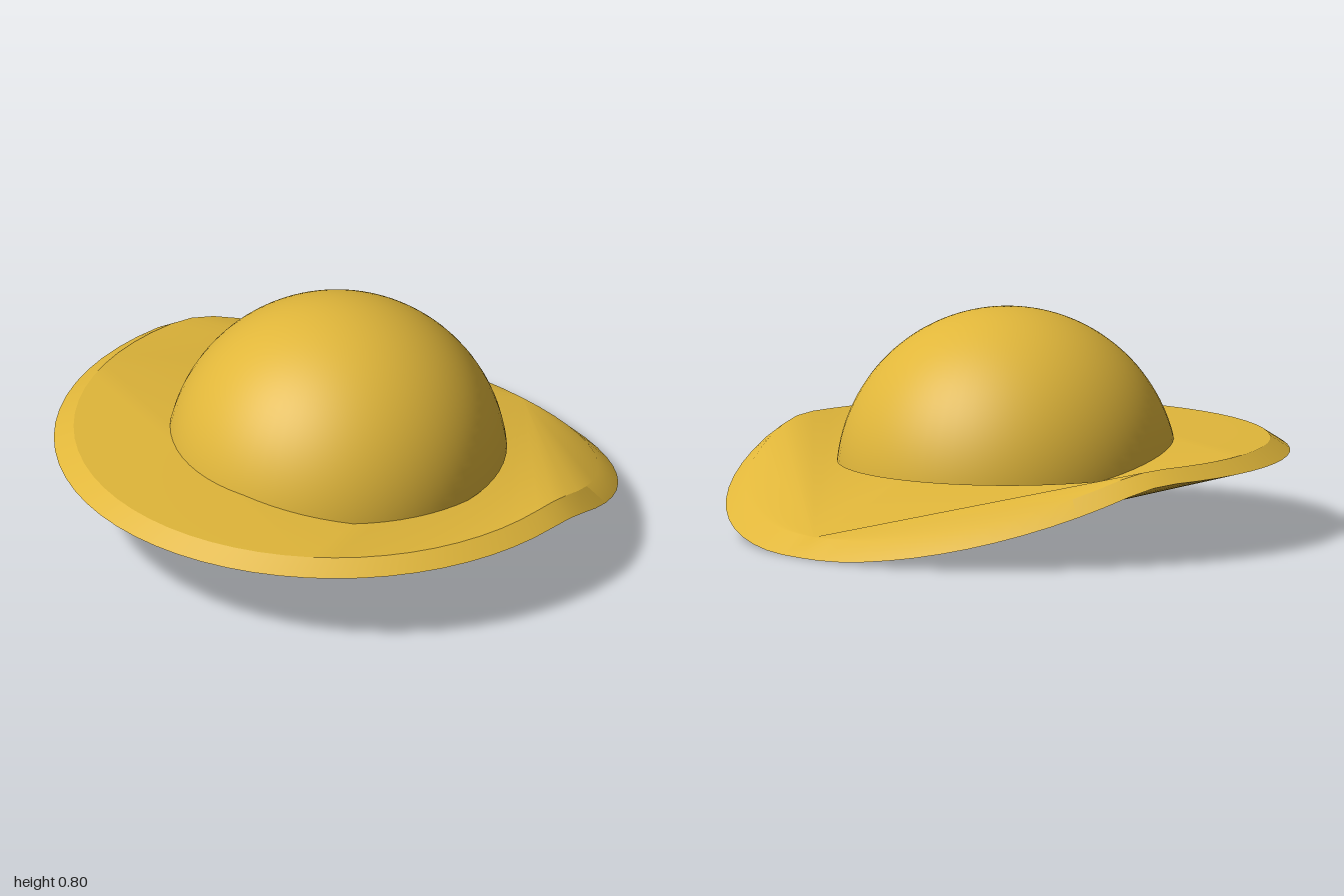
import * as THREE from 'three';
import { toCreasedNormals } from 'three/addons/utils/BufferGeometryUtils.js';

const N = 64; // points round the brim

// How far the brim droops towards the back: flat, a short bend, then a slope
function droop(z) {
  const t = Math.max(0, -z - 0.1);
  return t < 0.2 ? 0.9 * t * t : 0.036 + 0.36 * (t - 0.2);
}

function ring(radius, y) {
  return Array.from({ length: N }, (_, i) => {
    const a = (i / N) * Math.PI * 2;
    const z = radius * Math.sin(a);
    return [radius * Math.cos(a), Math.max(0, y - droop(z)), z];
  });
}

// Cap of a bent ring: a level front between two rim points, the rest falling to a back point
function cap(right, left, back) {
  const faces = [];
  for (let i = right + 1; i < left; i++) faces.push([right, i, i + 1]);
  faces.push([back, right, left]);
  for (let i = left; i < right + N; i++) {
    const a = i % N, b = (i + 1) % N;
    if (a !== back && b !== back) faces.push([back, a, b]);
  }
  return faces;
}

function brimGeometry() {
  const points = [...ring(1, 0.285), ...ring(0.93, 0.33)];
  const index = [];
  // underside
  for (const f of cap(4, 25, 46)) index.push(...f);
  // upper face
  for (const [a, b, c] of cap(9, 29, 48)) index.push(a + N, c + N, b + N);
  // bevelled rim
  for (let i = 0; i < N; i++) {
    const j = (i + 1) % N;
    index.push(i, i + N, j, j, i + N, j + N);
  }
  const geometry = new THREE.BufferGeometry();
  geometry.setAttribute('position', new THREE.Float32BufferAttribute(points.flat(), 3));
  geometry.setIndex(index);
  return toCreasedNormals(geometry, 0.5);
}

export function createModel() {
  const model = new THREE.Group();
  model.name = 'hat';
  const straw = new THREE.MeshStandardMaterial({ color: 0xe0b63a, side: THREE.DoubleSide });
  straw.name = 'straw yellow';

  const brim = new THREE.Mesh(brimGeometry(), straw);
  brim.name = 'brim';

  // open dome, cut just below its widest visible line
  const radius = 0.607;
  const crown = new THREE.Mesh(
    new THREE.SphereGeometry(radius, 64, 32, 0, Math.PI * 2, 0, Math.acos(0.06 / radius)), straw);
  crown.name = 'crown';
  crown.position.set(0, 0.188, -0.003);

  model.add(brim, crown);
  return model;
}
